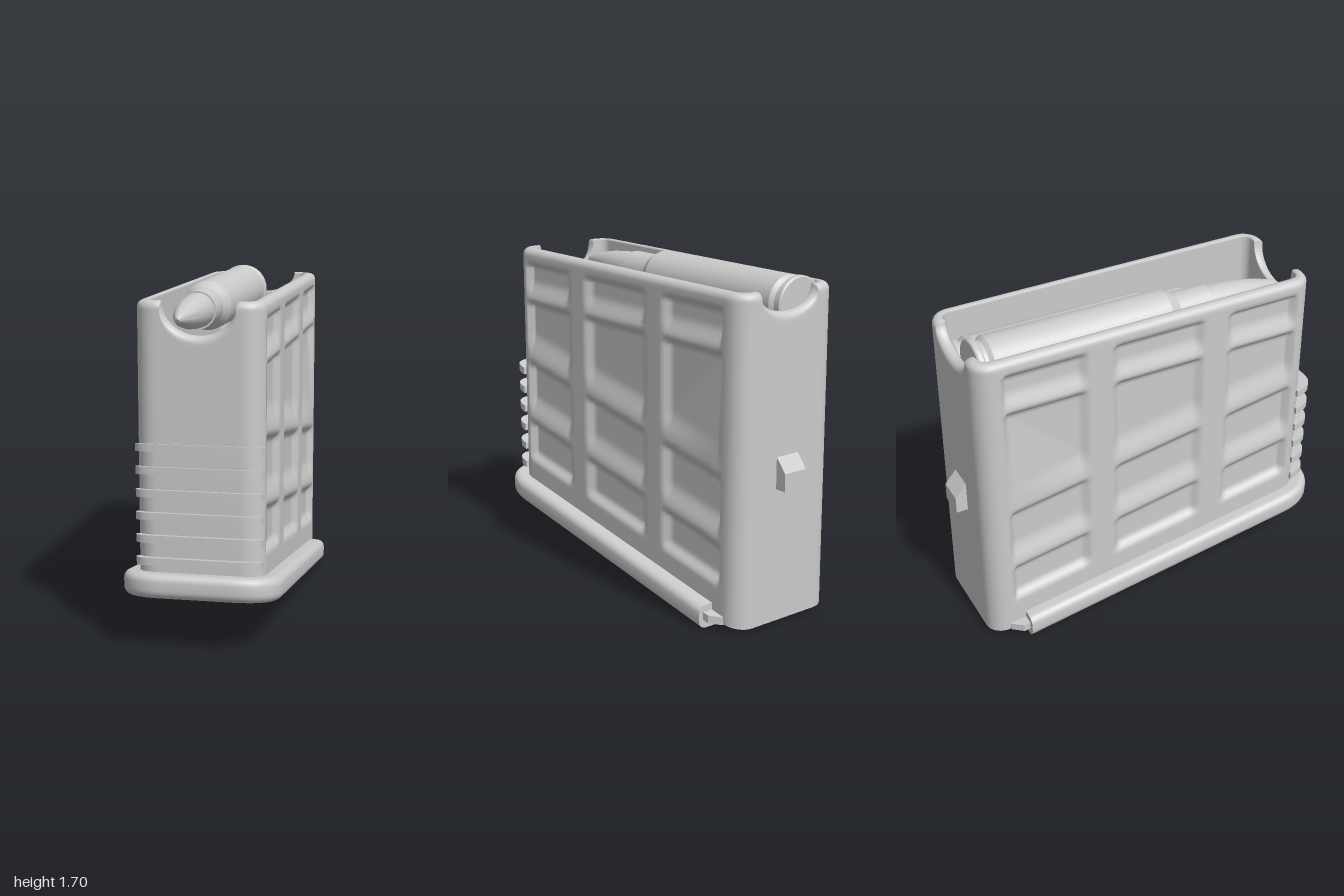
import * as THREE from 'three';
import { toCreasedNormals } from 'three/addons/utils/BufferGeometryUtils.js';

const material = new THREE.MeshStandardMaterial({ color: 0xcccccc, side: THREE.DoubleSide });
const SLOPE = 0.155;                       // the floor rises towards the front
const HX = 0.305, Z0 = -0.94, Z1 = 0.905, R = 0.1, TOP = 1.66;
const WALL = 0.055, LIP = 0.035, NOTCH = 0.18;

const step = (a, b, v) => THREE.MathUtils.smoothstep(v, a, b);
// 1 between a and b, with its own softness at each end
const band = (v, a, b, sa, sb) => step(a, a + sa, v) * (1 - step(b - sb, b, v));

function mesh(name, geometry) {
  const m = new THREE.Mesh(geometry, material);
  m.name = name;
  return m;
}

// Recess depth of the side panels: three columns, four rows split by ribs
function panelDepth(y, z) {
  const columns = Math.max(
    band(z, 0.40, 0.85, 0.05, 0.03),
    band(z, -0.24, 0.28, 0.05, 0.05),
    band(z, -0.81, -0.36, 0.02, 0.05));
  const rib2 = 0.925 + 0.16 * z, rib3 = 0.583 + 0.166 * z;
  let middle = band(y, rib2, 1.385, 0.15, 0.04);
  if (z < -0.36) {                         // sloping facet in the rear panel
    const diagonal = 1.36 - (z + 0.8) * 0.87;
    middle *= 1 - 0.75 * THREE.MathUtils.clamp((diagonal - y) / 0.4, 0, 1);
  }
  const rows = Math.max(
    band(y, 1.38, 1.59, 0.11, 0.025),
    middle,
    band(y, rib3, rib2 - 0.005, 0.13, 0.05),
    band(y, 0.34 + SLOPE * z, rib3 - 0.005, 0.05, 0.05));
  return 0.032 * columns * rows;
}

// Plan outline, counter-clockwise from above: core point, outward normal
function outline() {
  const points = [], cx = HX - R, SIDE = 100;
  const end = (s) => {                     // front (s = 1) or rear (s = -1) wall
    const z = s > 0 ? Z1 - R : Z0 + R;
    for (let i = 0; i <= 28; i++) {
      const x = NOTCH * Math.sin((i / 28 - 0.5) * Math.PI) * s;
      const drop = (s > 0 ? 0.16 : 0.11) * Math.sqrt(Math.max(0, 1 - (x / NOTCH) ** 2));
      points.push({ x, z, nx: 0, nz: s, drop });
    }
    for (let i = 0; i <= 8; i++) {
      const a = (i / 8) * Math.PI / 2;
      points.push({ x: cx * s, z, nx: Math.sin(a) * s, nz: Math.cos(a) * s, drop: 0 });
    }
  };
  const side = (s) => {
    for (let i = 1; i < SIDE; i++) {
      const t = s > 0 ? i / SIDE : 1 - i / SIDE;
      const z = THREE.MathUtils.lerp(Z1 - R, Z0 + R, t);
      points.push({ x: cx * s, z, nx: s, nz: 0, drop: 0, panel: true });
    }
  };
  const corner = (s) => {                  // closes the side onto the next wall
    const z = s > 0 ? Z0 + R : Z1 - R;
    for (let i = 0; i <= 8; i++) {
      const a = (i / 8) * Math.PI / 2;
      points.push({ x: cx * s, z, nx: Math.cos(a) * s, nz: -Math.sin(a) * s, drop: 0 });
    }
  };
  for (const s of [1, -1]) { end(s); side(s); corner(s); }
  return points;
}

// Thin-walled box: outer skin, rounded lip and inner skin as one swept grid
function shellGeometry() {
  const ring = outline(), n = ring.length, ROWS = 95;
  const pos = [], index = [];
  const floorY = (z) => 0.05 + SLOPE * (z + 0.75);
  const put = (p, inset, y) => {
    const dent = p.panel && inset === 0 ? panelDepth(y, p.z) : 0;
    const d = R - inset - dent;
    pos.push(p.x + p.nx * d, y, p.z + p.nz * d);
  };
  for (let j = 0; j <= ROWS; j++) {
    for (const p of ring) {
      const bottom = floorY(p.z + p.nz * R);
      put(p, 0, THREE.MathUtils.lerp(bottom, TOP - p.drop - LIP, j / ROWS));
    }
  }
  for (let k = 1; k <= 5; k++) {
    const a = (k / 5) * Math.PI / 2;
    for (const p of ring) put(p, LIP * (1 - Math.cos(a)), TOP - p.drop - LIP * (1 - Math.sin(a)));
  }
  for (const p of ring) put(p, WALL - 0.004, TOP - p.drop);
  for (const p of ring) put(p, WALL, TOP - p.drop - 0.01);
  for (const p of ring) put(p, WALL, 0.4);
  const rows = pos.length / 3 / n;
  for (let j = 0; j < rows - 1; j++) {
    for (let i = 0; i < n; i++) {
      const a = j * n + i, b = j * n + (i + 1) % n;
      index.push(a, b, b + n, a, b + n, a + n);
    }
  }
  // Flat sloping floor
  const base = pos.length / 3;
  for (const p of ring) pos.push(p.x + p.nx * R, floorY(p.z + p.nz * R), p.z + p.nz * R);
  pos.push(0, floorY(0), 0);
  for (let i = 0; i < n; i++) index.push(base + n, base + (i + 1) % n, base + i);
  const g = new THREE.BufferGeometry();
  g.setAttribute('position', new THREE.Float32BufferAttribute(pos, 3));
  g.setIndex(index);
  g.computeVertexNormals();
  return g;
}

// Plan shape with rounded front corners (shape y is -z)
function frontRounded(hx, back, front, r) {
  const s = new THREE.Shape();
  s.moveTo(-hx, -back);
  s.lineTo(-hx, -(front - r));
  s.quadraticCurveTo(-hx, -front, -hx + r, -front);
  s.lineTo(hx - r, -front);
  s.quadraticCurveTo(hx, -front, hx, -(front - r));
  s.lineTo(hx, -back);
  s.closePath();
  return s;
}

// Horizontal slab from a plan shape, sheared along z; y is its underside at z = zRef
function slab(shape, y, height, bevel, slope, zRef, zMin = -9) {
  const g = new THREE.ExtrudeGeometry(shape, {
    depth: height - 2 * bevel, bevelEnabled: bevel > 0, bevelSize: bevel,
    bevelThickness: bevel, bevelSegments: 5, curveSegments: 12,
  });
  g.rotateX(-Math.PI / 2);
  const p = g.attributes.position;
  for (let i = 0; i < p.count; i++) {
    const z = Math.max(p.getZ(i), zMin);
    p.setXYZ(i, p.getX(i), p.getY(i) + bevel + y + slope * (z - zRef), z);
  }
  return toCreasedNormals(g, 0.6);
}

// Bottle-necked cartridge lying along z, tip to the front
function cartridgeGeometry() {
  const profile = [
    [0, -0.885], [0.128, -0.885], [0.135, -0.878], [0.135, -0.855], [0.115, -0.845],
    [0.115, -0.825], [0.132, -0.805], [0.125, 0.14], [0.095, 0.2], [0.095, 0.38],
    [0.086, 0.38], [0.083, 0.46], [0.072, 0.57], [0.054, 0.67], [0.033, 0.75],
    [0.018, 0.79], [0, 0.803],
  ].map(([r, y]) => new THREE.Vector2(r, y));
  const g = new THREE.LatheGeometry(profile, 40).rotateX(Math.PI / 2);
  return toCreasedNormals(g, 0.4);
}

export function createModel() {
  const group = new THREE.Group();
  group.add(mesh('body', shellGeometry()));

  // Base plate, cut square at its rear end
  group.add(mesh('basePlate', slab(frontRounded(0.345, -0.9, 0.96, 0.18), 0, 0.12, 0.04, SLOPE, -0.755, -0.755)));

  // Small retaining tabs behind the base plate
  for (const s of [1, -1]) {
    const tab = new THREE.Shape([[0.28, 0.74], [0.36, 0.74], [0.36, 0.79], [0.31, 0.84], [0.28, 0.84]]
      .map(([x, y]) => new THREE.Vector2(x * s, y)));
    group.add(mesh('retainingTab', slab(tab, 0.045, 0.04, 0, SLOPE, -0.755)));
  }

  // Grip ribs across the front
  for (let i = 0; i < 6; i++) {
    const shape = frontRounded(0.305, 0.86, 0.965, 0.1);
    group.add(mesh('gripRib', slab(shape, 0.425 + i * 0.109, 0.037, 0, 0.18, 0.965)));
  }

  // Wedge-shaped catch on the rear wall
  const wedge = new THREE.Shape([[0.92, 0.70], [1.0, 0.70], [1.0, 0.79], [0.94, 0.86], [0.92, 0.86]]
    .map(([x, y]) => new THREE.Vector2(x, y)));
  const catchGeometry = new THREE.ExtrudeGeometry(wedge, { depth: 0.136, bevelEnabled: false });
  catchGeometry.translate(0, 0, -0.068).rotateY(Math.PI / 2);
  group.add(mesh('rearCatch', catchGeometry));

  // Staggered cartridges resting on the follower
  const cartridge = cartridgeGeometry();
  for (const [x, y] of [[-0.115, 1.565], [0.122, 1.43]]) {
    const round = mesh('cartridge', cartridge);
    round.position.set(x, y, 0);
    group.add(round);
  }
  const follower = mesh('follower', new THREE.BoxGeometry(0.49, 0.04, 1.7));
  follower.position.set(0, 1.27, -0.02);
  group.add(follower);
  return group;
}
